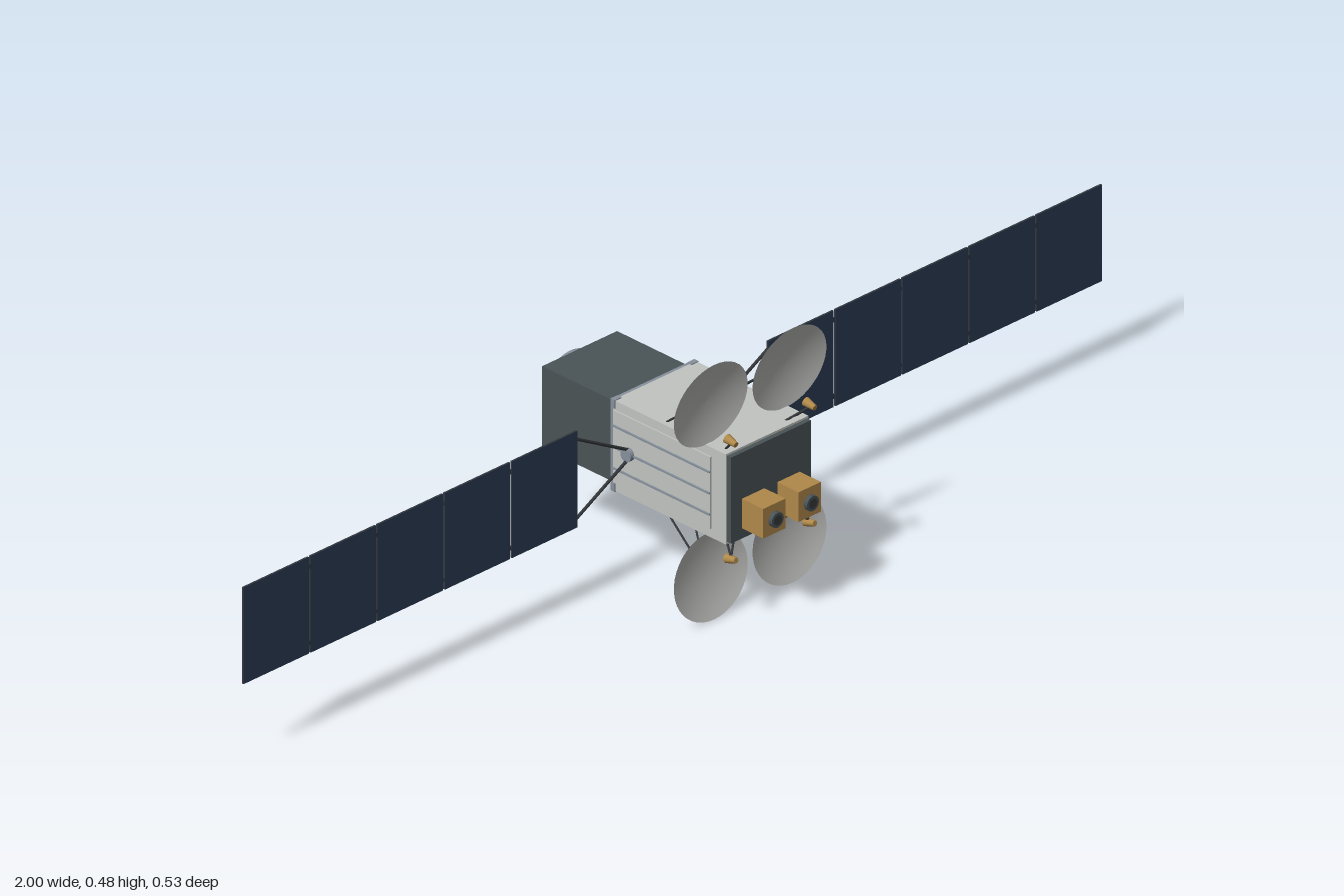
import * as THREE from 'three';

const mat = (name, color, double = false) => {
  const m = new THREE.MeshStandardMaterial({ color });
  m.name = name;
  if (double) m.side = THREE.DoubleSide;
  return m;
};

export function createModel() {
  const M = {
    body: mat('light grey', 0xc2c4c2),
    dish: mat('dish grey', 0xc0c0be, true),
    dark: mat('dark slate', 0x4a5356),
    gold: mat('gold foil', 0xb0894a),
    cell: mat('navy cells', 0x2c3b52),
    back: mat('panel backing', 0x747a82),
    steel: mat('blue steel', 0x87909c),
    strut: mat('strut black', 0x34373a),
  };

  const add = (parent, name, geo, material, x = 0, y = 0, z = 0) => {
    const m = new THREE.Mesh(geo, material);
    m.name = name;
    m.position.set(x, y, z);
    parent.add(m);
    return m;
  };
  const box = (parent, name, material, w, h, d, x, y, z) =>
    add(parent, name, new THREE.BoxGeometry(w, h, d), material, x, y, z);
  // Tapered cylinder between two points
  const rod = (parent, name, material, a, b, r1, r2 = r1, sides = 8) => {
    const p = new THREE.Vector3(...a), q = new THREE.Vector3(...b);
    const m = add(parent, name, new THREE.CylinderGeometry(r2, r1, p.distanceTo(q), sides), material);
    m.position.copy(p).add(q).multiplyScalar(0.5);
    m.quaternion.setFromUnitVectors(new THREE.Vector3(0, 1, 0), q.sub(p).normalize());
    return m;
  };

  // Everything is laid out around the long axis, which sits at y = 0.24
  const sat = new THREE.Group();
  sat.name = 'satellite';
  sat.position.y = 0.24;

  // Main bus, front plate, rear module and collar between them
  box(sat, 'bus', M.body, 0.192, 0.17, 0.266, 0, 0, 0.067);
  box(sat, 'frontPlate', M.dark, 0.186, 0.162, 0.009, 0, 0, 0.2045);
  box(sat, 'rearModule', M.dark, 0.174, 0.153, 0.172, 0, 0, -0.157);
  box(sat, 'collar', M.steel, 0.192, 0.17, 0.006, 0, 0, -0.069);
  for (const sx of [1, -1]) for (const sy of [1, -1])
    box(sat, 'collarCorner', M.steel, 0.016, 0.016, 0.01, sx * 0.0895, sy * 0.0785, -0.066);

  // Docking ring at the rear, hollow in the middle
  const ring = add(sat, 'rearRing', new THREE.LatheGeometry(
    [[0.045, 0], [0.064, 0], [0.064, 0], [0.064, 0.023], [0.064, 0.023], [0.047, 0.023], [0.047, 0.023], [0.045, 0]]
      .map(p => new THREE.Vector2(...p)), 40), M.steel, 0, 0, -0.243);
  ring.rotation.x = -Math.PI / 2;
  const inner = add(sat, 'innerRing', new THREE.TorusGeometry(0.035, 0.004, 8, 32), M.steel, 0, 0, -0.244);
  inner.scale.z = 0.7;

  // Gold instruments with dark lenses
  for (const s of [1, -1]) {
    const x = s * 0.041, y = -0.034;
    box(sat, 'instrument', M.gold, 0.052, 0.056, 0.05, x, y, 0.234);
    rod(sat, 'lens', M.dark, [x, y, 0.258], [x, y, 0.267], 0.014, 0.014, 24);
    add(sat, 'lensGlass', new THREE.CircleGeometry(0.009, 24), M.strut, x, y, 0.2675);
  }

  for (const s of [1, -1]) {
    // Side radiator plate with three rails
    box(sat, 'radiator', M.body, 0.003, 0.136, 0.228, s * 0.0975, 0, 0.052);
    for (const y of [-0.04, 0, 0.04])
      box(sat, 'radiatorRail', M.steel, 0.004, 0.003, 0.228, s * 0.1, y, 0.052);

    // Solar wing: hub, yoke and five panels
    const wing = new THREE.Group();
    wing.name = s > 0 ? 'leftWing' : 'rightWing';
    wing.position.z = -0.025;
    sat.add(wing);
    rod(wing, 'hub', M.steel, [s * 0.095, 0, 0], [s * 0.108, 0, 0], 0.012, 0.012, 20);
    for (const y of [1, -1])
      rod(wing, 'yokeArm', M.strut, [s * 0.1, y * 0.008, 0], [s * 0.222, y * 0.075, 0], 0.0028);
    for (let i = 0; i < 5; i++) {
      const x = s * (0.298 + i * 0.156);
      box(wing, 'panelCore', M.strut, 0.152, 0.182, 0.003, x, 0, 0);
      box(wing, 'panelCells', M.cell, 0.152, 0.182, 0.0008, x, 0, 0.0018);
      box(wing, 'panelBacking', M.back, 0.15, 0.178, 0.0008, x, 0, -0.0018);
      for (const y of [0.072, -0.072]) {
        // Dashed cable line on the back
        for (let k = 0; k < 7; k++)
          box(wing, 'cableDash', M.strut, 0.011, 0.0015, 0.0008, x + (k - 3) * 0.0215, y, -0.0023);
        if (i < 4) box(wing, 'hinge', M.strut, 0.008, 0.008, 0.003, x + s * 0.078, y, 0);
      }
    }
  }

  // Dish reflectors: the upper pair, and the same pair turned over for the lower
  const profile = [];
  for (let i = 0; i <= 8; i++) profile.push(new THREE.Vector2(i / 8, 0.011 * (i / 8) ** 2 - 0.011));
  const dishGeo = new THREE.LatheGeometry(profile, 40).scale(0.0855, 1, 0.0785);
  for (const turn of [0, Math.PI]) {
    const pair = new THREE.Group();
    pair.name = turn ? 'lowerDishes' : 'upperDishes';
    pair.rotation.z = turn;
    sat.add(pair);
    for (const s of [1, -1]) {
      const x = s * 0.0915;
      const dish = add(pair, 'dish', dishGeo, M.dish, x, 0.162, 0.16);
      dish.rotation.x = Math.PI / 2 + 0.106;
      // Two struts behind each dish
      for (const foot of [0.03, 0.085])
        rod(pair, 'dishStrut', M.strut, [x, 0.163, 0.147], [s * foot, 0.083, 0.048], 0.0018);
      // Feed horn aimed at the dish, on two short legs
      rod(pair, 'feedHorn', M.gold, [x, 0.109, 0.22], [x, 0.113, 0.198], 0.005, 0.0085, 16);
      for (const foot of [0.058, 0.08])
        rod(pair, 'feedLeg', M.strut, [x, 0.107, 0.208], [s * foot, 0.083, 0.183], 0.002);
    }
  }

  const group = new THREE.Group();
  group.name = 'model';
  group.add(sat);
  return group;
}
